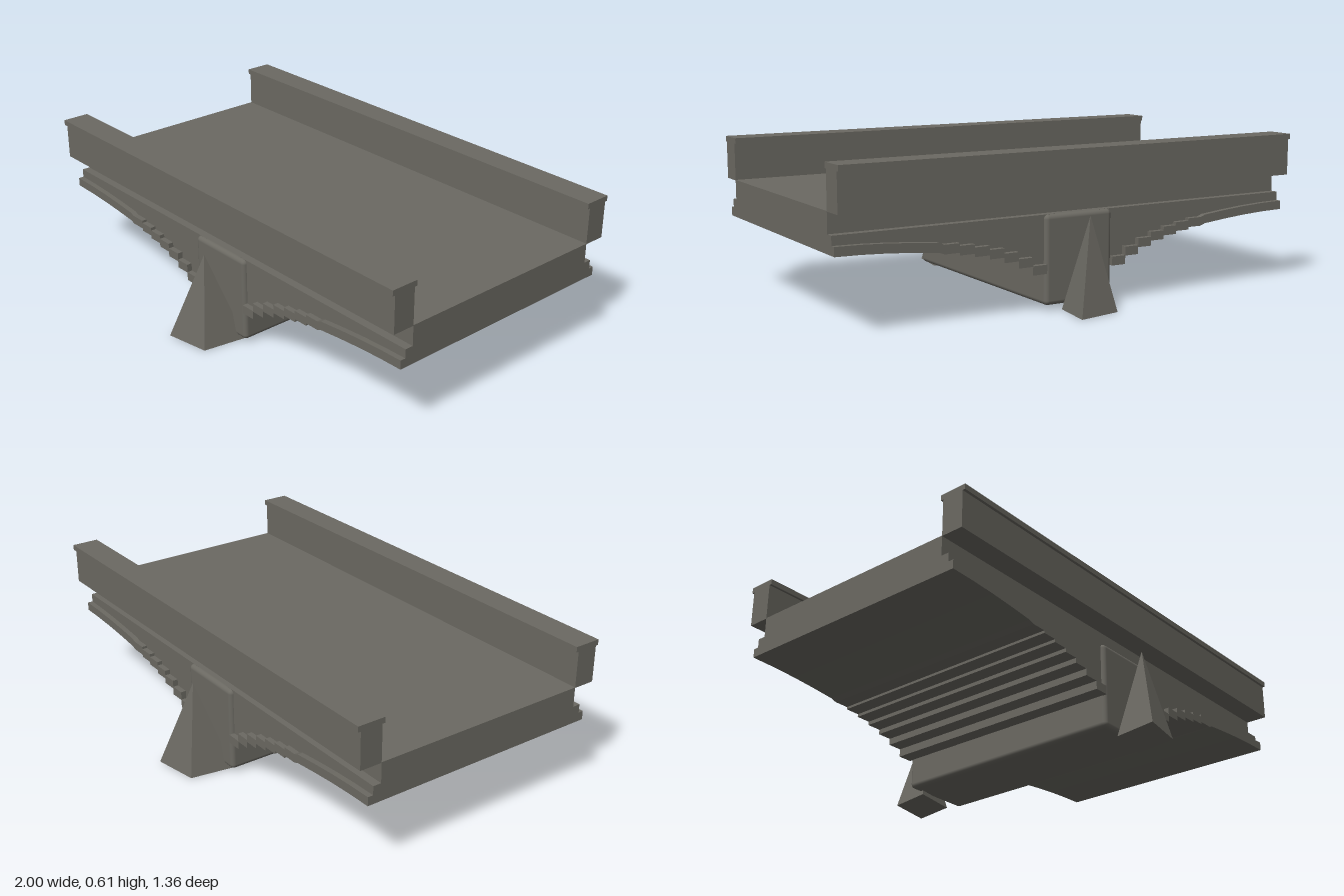
import * as THREE from 'three';
import { RoundedBoxGeometry } from 'three/addons/geometries/RoundedBoxGeometry.js';

export function createModel() {
  const bridge = new THREE.Group();
  bridge.name = 'stoneBridge';
  const stone = new THREE.MeshStandardMaterial({ color: 0x6b6962 });
  stone.name = 'stone';

  const add = (name, geometry, x = 0, y = 0, z = 0) => {
    const mesh = new THREE.Mesh(geometry, stone);
    mesh.name = name;
    mesh.position.set(x, y, z);
    bridge.add(mesh);
    return mesh;
  };
  // Box given by its limits on each axis
  const block = (name, x0, x1, y0, y1, z0, z1) =>
    add(name, new THREE.BoxGeometry(x1 - x0, y1 - y0, z1 - z0),
      (x0 + x1) / 2, (y0 + y1) / 2, (z0 + z1) / 2);
  // Side profile extruded across the width of the bridge
  const across = (name, points, halfWidth) => {
    const shape = new THREE.Shape(points.map(([x, y]) => new THREE.Vector2(x, y)));
    const geometry = new THREE.ExtrudeGeometry(shape, { depth: 2 * halfWidth, bevelEnabled: false });
    return add(name, geometry, 0, 0, -halfWidth);
  };

  // Underside of the arch: stepped near the pier, a smooth curve towards the crown
  const stepBottoms = [0.145, 0.178, 0.205, 0.225, 0.24, 0.252, 0.262];
  const underside = [];
  stepBottoms.forEach((y, i) => {
    underside.push([0.148 + i * 0.0615, y], [0.148 + (i + 1) * 0.0615, y]);
  });
  underside.push([0.6, 0.27], [0.7, 0.28], [0.8, 0.288], [0.9, 0.293], [1, 0.295]);
  const ringTop = underside.map(([x, y]) => [x, y + 0.035]);

  for (const side of [1, -1]) {
    const mirror = (points) => points.map(([x, y]) => [x * side, y]);
    across('archRing', mirror([...underside, ...ringTop.slice().reverse()]), 0.51);
    across('spandrel', mirror([...ringTop, [1, 0.365], [0.1, 0.365], [0.1, 0.18]]), 0.488);
  }

  // Central pier with softened edges
  add('pier', new RoundedBoxGeometry(0.3, 0.345, 1.006, 3, 0.018), 0, 0.1925, 0);

  // Road deck in slabs
  for (let i = 0; i < 8; i++) {
    block('deckSlab', -1 + i * 0.25, -0.75 + i * 0.25, 0.36, 0.445, -0.455, 0.455);
  }

  // Parapet panels and coping along both edges
  const joints = [-1, -0.5, -0.25, 0.25, 0.5, 1];
  for (const side of [1, -1]) {
    for (let i = 0; i < joints.length - 1; i++) {
      block('parapetPanel', joints[i], joints[i + 1], 0.443, 0.592,
        side * 0.5 - 0.045, side * 0.5 + 0.045);
    }
    block('parapetCoping', -1, 1, 0.59, 0.612, side * 0.5 - 0.056, side * 0.5 + 0.056);
  }

  // Skewed pyramid cutwaters in front of and behind the pier
  const base = [[-0.105, 0.105], [0.077, 0.072], [0.105, -0.105], [-0.077, -0.072]];
  const corners = [];
  base.forEach(([x, z], i) => {
    const [nx, nz] = base[(i + 1) % 4];
    corners.push(x, 0, z, nx, 0, nz, 0, 0.362, 0);
    corners.push(nx, 0, nz, x, 0, z, 0, 0, 0);
  });
  const pyramid = new THREE.BufferGeometry();
  pyramid.setAttribute('position', new THREE.Float32BufferAttribute(corners, 3));
  pyramid.computeVertexNormals();
  for (const side of [1, -1]) add('cutwater', pyramid, 0, 0, side * 0.575);

  return bridge;
}
